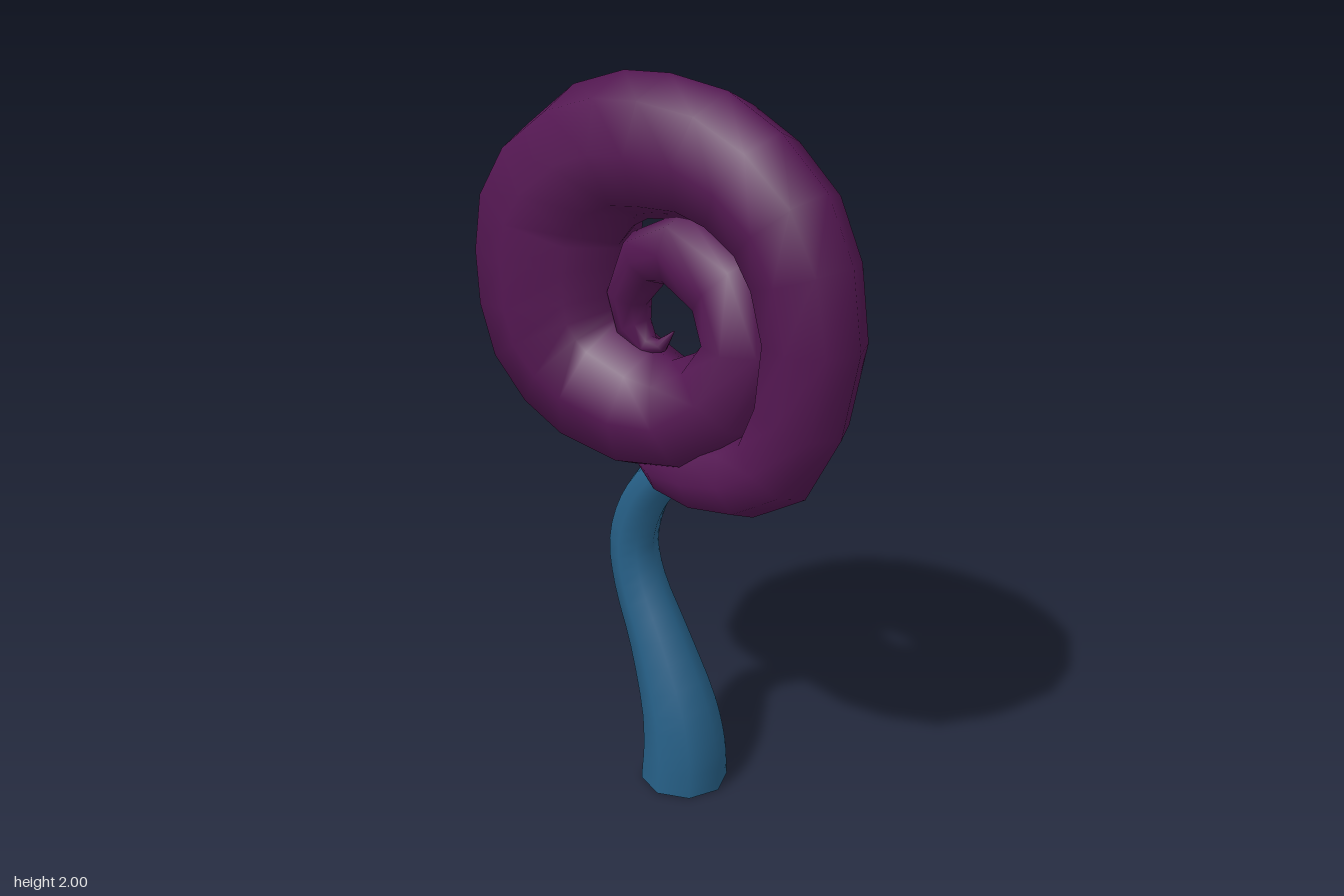
import * as THREE from 'three';

const SIDES = 8;

// Tapered tube along a path lying in an XY plane; each row is [x, y, radius]
function taperedTube(rows, z) {
  const pos = [], index = [];
  const n = rows.length;
  rows.forEach(([x, y, r], i) => {
    const a = rows[Math.max(i - 1, 0)], b = rows[Math.min(i + 1, n - 1)];
    const tx = b[0] - a[0], ty = b[1] - a[1], len = Math.hypot(tx, ty);
    for (let j = 0; j < SIDES; j++) {
      const ang = (j / SIDES) * Math.PI * 2;
      const out = Math.cos(ang) * r;
      pos.push(x + (ty / len) * out, y - (tx / len) * out, z + Math.sin(ang) * r);
    }
  });
  for (let i = 0; i < n - 1; i++) {
    for (let j = 0; j < SIDES; j++) {
      const k = (j + 1) % SIDES;
      const a = i * SIDES + j, b = i * SIDES + k;
      const c = a + SIDES, d = b + SIDES;
      index.push(a, c, b, b, c, d);
    }
  }
  // End caps with their own vertices, so the rims stay crisp
  for (const ring of [0, n - 1]) {
    const base = pos.length / 3;
    for (let j = 0; j < SIDES * 3; j++) pos.push(pos[ring * SIDES * 3 + j]);
    for (let j = 1; j < SIDES - 1; j++) {
      if (ring === 0) index.push(base, base + j, base + j + 1);
      else index.push(base, base + j + 1, base + j);
    }
  }
  const geo = new THREE.BufferGeometry();
  geo.setAttribute('position', new THREE.Float32BufferAttribute(pos, 3));
  geo.setIndex(index);
  geo.computeVertexNormals();
  return geo;
}

// Smooth a few control rows into more rings
function refine(rows, count) {
  const curve = new THREE.CatmullRomCurve3(rows.map((p) => new THREE.Vector3(...p)));
  return curve.getPoints(count).map((p) => [p.x, p.y, p.z]);
}

function addPart(group, name, geometry, color) {
  const material = new THREE.MeshStandardMaterial({ color, side: THREE.DoubleSide });
  const mesh = new THREE.Mesh(geometry, material);
  mesh.name = name;
  group.add(mesh);
}

export function createModel() {
  const group = new THREE.Group();
  group.name = 'curledPlant';

  // Curled head: outer turn swells towards the left, inner turn tapers to a hook
  const outerTurn = [
    [-0.09, 0.96, 0.01], [-0.01, 0.965, 0.065], [0.12, 0.98, 0.1], [0.25, 1.005, 0.11],
    [0.36, 1.07, 0.117], [0.43, 1.21, 0.122], [0.461, 1.4, 0.13], [0.43, 1.56, 0.138],
    [0.37, 1.675, 0.146], [0.265, 1.76, 0.155], [0.15, 1.81, 0.168], [0.01, 1.82, 0.18],
    [-0.1, 1.813, 0.186], [-0.21, 1.775, 0.197], [-0.315, 1.69, 0.21], [-0.36, 1.61, 0.22],
    [-0.378, 1.5, 0.22], [-0.37, 1.385, 0.22], [-0.345, 1.29, 0.213], [-0.285, 1.215, 0.2],
    [-0.21, 1.165, 0.187],
  ];
  const innerTurn = [
    [-0.06, 1.125, 0.17], [0.07, 1.13, 0.15], [0.2, 1.22, 0.135], [0.265, 1.36, 0.12],
    [0.2, 1.5, 0.11], [0.05, 1.57, 0.1], [-0.06, 1.53, 0.08], [-0.125, 1.42, 0.06],
    [-0.11, 1.34, 0.048], [-0.06, 1.293, 0.032], [-0.015, 1.305, 0.018], [0.025, 1.35, 0.002],
  ];
  addPart(group, 'spiralHead', taperedTube([...outerTurn, ...innerTurn], 0), 0x541752);

  // Curved stem, set slightly behind the head
  const stemRows = refine([
    [0.025, 0, 0.124], [0.025, 0.1, 0.118], [0.005, 0.22, 0.107], [-0.07, 0.42, 0.085],
    [-0.14, 0.58, 0.073], [-0.16, 0.7, 0.069], [-0.125, 0.82, 0.066], [-0.06, 0.91, 0.062],
    [0.01, 0.96, 0.058],
  ], 24);
  stemRows[1][0] = stemRows[0][0];
  addPart(group, 'stem', taperedTube(stemRows, -0.052), 0x265f86);

  return group;
}
